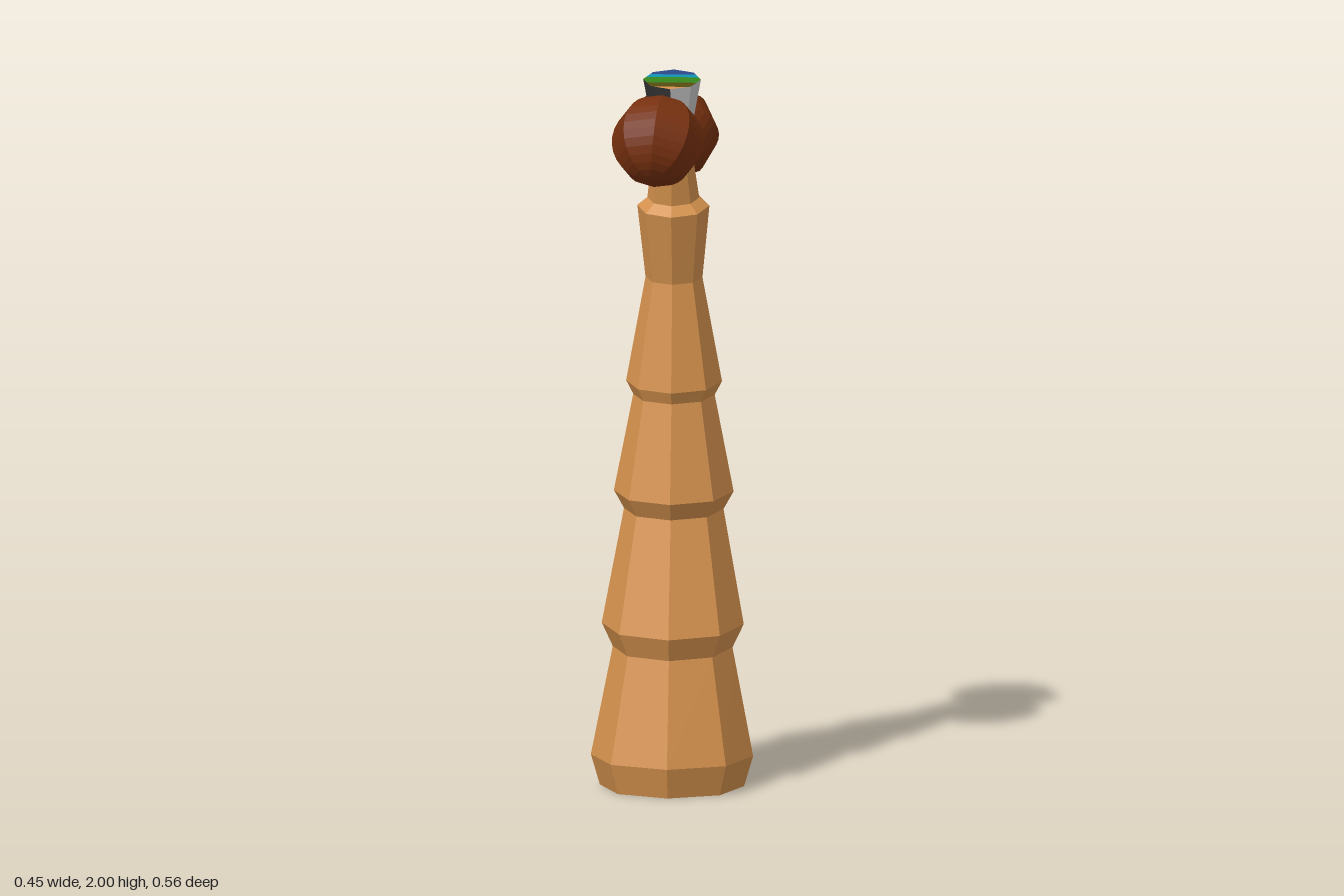
import * as THREE from 'three';

const SIDES = 8;

const paint = (name, color, double = false) => {
  const m = new THREE.MeshStandardMaterial({ color, flatShading: true });
  m.name = name;
  if (double) m.side = THREE.DoubleSide;
  return m;
};

// Flat-shaded geometry from a list of triangle corners
function facets(points) {
  const g = new THREE.BufferGeometry().setFromPoints(points);
  g.computeVertexNormals();
  return g;
}

// Corner j of a ring [y, centre z, radius, forward tilt]
function corner([y, cz, r, tilt], j) {
  const a = (j / SIDES) * Math.PI * 2;
  const dz = r * Math.sin(a);
  return new THREE.Vector3(r * Math.cos(a), y - tilt * dz, cz + dz);
}

// Skin rings from side `from` up to side `to`, optionally closing both ends
function loft(rings, from = 0, to = SIDES, capped = false) {
  const p = [];
  for (let j = from; j < to; j++) {
    for (let i = 0; i < rings.length - 1; i++) {
      const a = corner(rings[i], j), b = corner(rings[i], j + 1);
      const c = corner(rings[i + 1], j), d = corner(rings[i + 1], j + 1);
      p.push(a, c, b, b, c, d);
    }
    if (capped) {
      const lo = rings[0], hi = rings[rings.length - 1];
      p.push(new THREE.Vector3(0, lo[0], lo[1]), corner(lo, j), corner(lo, j + 1));
      p.push(new THREE.Vector3(0, hi[0], hi[1]), corner(hi, j + 1), corner(hi, j));
    }
  }
  return facets(p);
}

// Slice of a ring's octagonal lid between two z positions
function lidBand([y, cz, r, tilt], z0, z1) {
  const k = r * Math.SQRT1_2;
  const halfWidth = (z) => {
    const d = Math.min(Math.abs(z), r);
    return d < k ? r - (d / k) * (r - k) : (k * (r - d)) / (r - k);
  };
  const lo = Math.max(z0 - cz, -r), hi = Math.min(z1 - cz, r);
  const levels = [lo, ...[-k, 0, k].filter((z) => z > lo && z < hi), hi];
  const p = [];
  for (let i = 0; i < levels.length - 1; i++) {
    const at = (z, s) => new THREE.Vector3(s * halfWidth(z), y - tilt * z, cz + z);
    const [a, b] = [levels[i], levels[i + 1]];
    p.push(at(a, -1), at(b, -1), at(a, 1), at(a, 1), at(b, -1), at(b, 1));
  }
  return facets(p);
}

export function createModel() {
  const model = new THREE.Group();
  const bark = paint('bark', 0xd4914d);
  const shell = paint('coconut shell', 0x76300f);
  const paleGrey = paint('pale grey', 0xc4c4c4, true);
  const darkGrey = paint('dark grey', 0x333333, true);

  const add = (name, geometry, material) => {
    const mesh = new THREE.Mesh(geometry, material);
    mesh.name = name;
    model.add(mesh);
    return mesh;
  };

  // Leaning trunk with stepped segments
  add('trunk', loft([
    [0, 0.014, 0.2, 0],
    [0.085, 0.013, 0.225, 0],
    [0.385, -0.015, 0.166, 0.06],
    [0.45, -0.02, 0.197, 0.06],
    [0.765, -0.065, 0.138, 0.06],
    [0.815, -0.065, 0.166, 0.06],
    [1.085, -0.074, 0.113, 0.07],
    [1.122, -0.079, 0.133, 0.09],
    [1.415, -0.075, 0.079, 0.1],
    [1.622, -0.047, 0.1, 0.17],
    [1.645, -0.044, 0.072, 0.17],
    [1.82, 0.004, 0.05, 0.2],
  ], 0, SIDES, true), bark);

  // Flared crown stub, one half pale and one half dark
  const rim = [1.9875, 0.012, 0.08, 0.16];
  const stub = [[1.815, 0.002, 0.048, 0.16], rim];
  add('crownDarkHalf', loft(stub, 2, 6), darkGrey);
  add('crownPaleHalf', loft(stub, 6, 10), paleGrey);

  // Striped lid on the crown
  const bands = [
    ['lidBlue', -0.07, -0.028, paint('blue', 0x2a4686)],
    ['lidTeal', -0.028, -0.006, paint('teal', 0x0f90ae)],
    ['lidGreen', -0.006, 0.038, paint('green', 0x34841d)],
    ['lidOlive', 0.038, 0.072, paint('olive', 0x544b10)],
    ['lidBark', 0.072, 0.095, bark],
  ];
  for (const [name, z0, z1, material] of bands) add(name, lidBand(rim, z0, z1), material);

  // Coconuts in front of and behind the crown
  const nuts = [
    ['frontCoconut', -0.03, 1.84, 0.155, -0.7, 0.1],
    ['backCoconut', -0.008, 1.805, -0.152, 0.7, 0],
  ];
  for (const [name, x, y, z, lean, roll] of nuts) {
    const nut = add(name, new THREE.SphereGeometry(0.128, SIDES, 16), shell);
    nut.position.set(x, y, z);
    nut.rotation.set(lean, 0, -roll);
  }
  return model;
}
